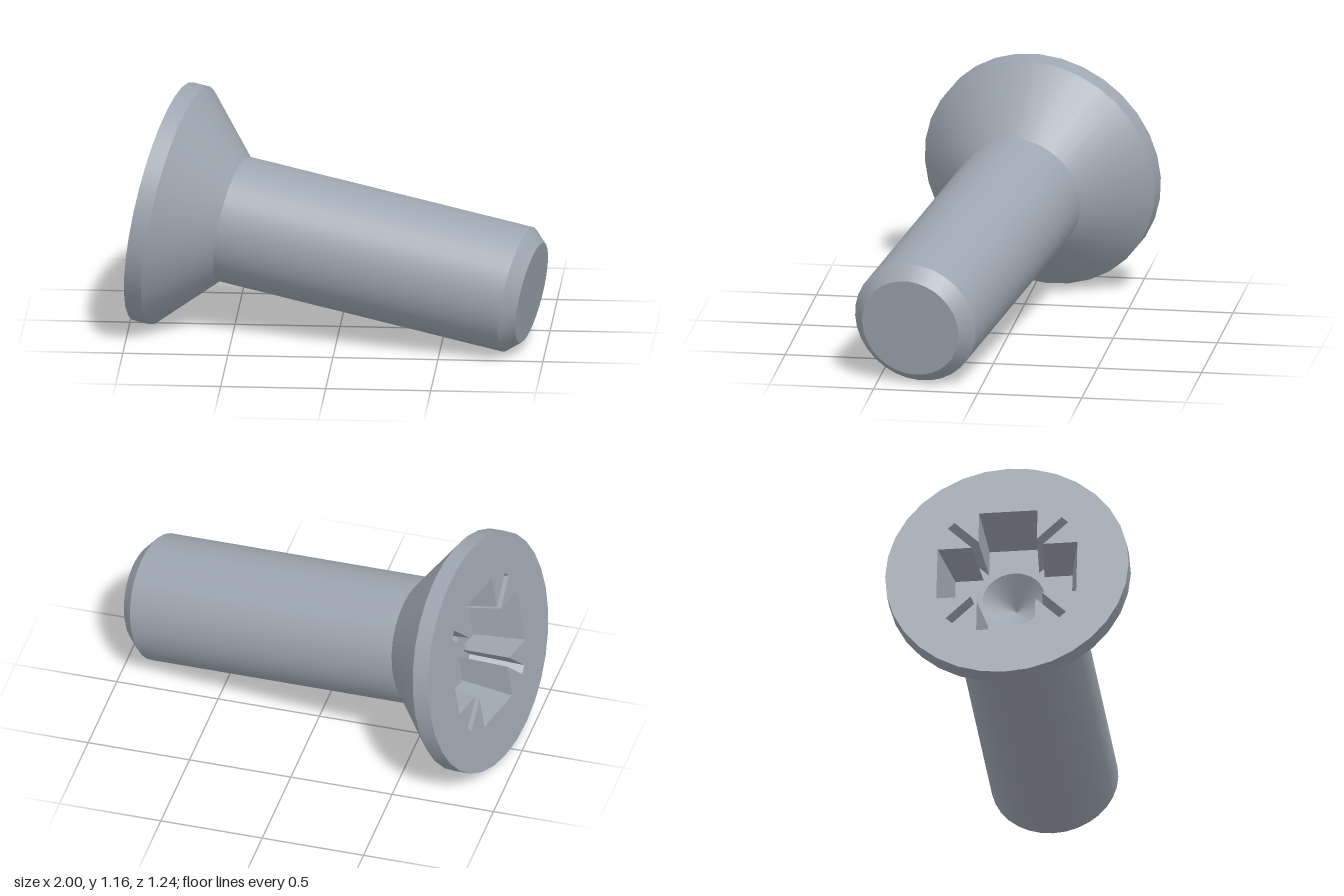
import * as THREE from 'three';

const SIDES = 32;
const HEAD_R = 0.583, SHANK_R = 0.305, TIP_R = 0.245;
const RIM = 0.085, NECK = 0.355, CHAMFER = 1.78, LENGTH = 1.847; // distances from the head face
const RECESS_DEPTH = 0.25, PIT_R = 0.15, PIT_DEPTH = 0.36;

const steel = new THREE.MeshStandardMaterial({ color: 0x9ea6b1 });
steel.name = 'steel';

// Revolved band about local z; points are [radius, depth below the head face]
function band(name, points) {
  const geometry = new THREE.LatheGeometry(points.map(([r, d]) => new THREE.Vector2(r, -d)), SIDES);
  geometry.rotateX(Math.PI / 2);
  const mesh = new THREE.Mesh(geometry, steel);
  mesh.name = name;
  return mesh;
}

function circle(radius) {
  return Array.from({ length: SIDES }, (_, i) => {
    const a = (i / SIDES) * Math.PI * 2;
    return new THREE.Vector2(radius * Math.cos(a), radius * Math.sin(a));
  });
}

// Counter-clockwise cross with four wings and four narrow diagonal slots
function crossOutline(reach, w, slotReach, h) {
  const k = Math.SQRT1_2, s = h * Math.SQRT2;
  const quarter = [
    [reach, -w], [reach, w], [w + s, w],
    [(slotReach + h) * k, (slotReach - h) * k],
    [(slotReach - h) * k, (slotReach + h) * k], [w, w + s],
  ];
  const points = [];
  for (let q = 0; q < 4; q++) {
    for (const [x, y] of quarter) {
      points.push(new THREE.Vector2(x, y).rotateAround(new THREE.Vector2(), q * Math.PI / 2));
    }
  }
  return points;
}

// Flat plate with a hole, facing out of the head
function plate(name, outline, hole, depth) {
  const shape = new THREE.Shape(outline);
  shape.holes.push(new THREE.Path(hole));
  const mesh = new THREE.Mesh(new THREE.ShapeGeometry(shape), steel);
  mesh.position.z = -depth;
  mesh.name = name;
  return mesh;
}

// Inward-facing walls between the opening and the smaller floor outline
function recessWalls(top, bottom, depth) {
  const position = [];
  top.forEach((a, i) => {
    const j = (i + 1) % top.length;
    const b = top[j], c = bottom[j], d = bottom[i];
    position.push(a.x, a.y, 0, b.x, b.y, 0, c.x, c.y, -depth);
    position.push(a.x, a.y, 0, c.x, c.y, -depth, d.x, d.y, -depth);
  });
  const geometry = new THREE.BufferGeometry();
  geometry.setAttribute('position', new THREE.Float32BufferAttribute(position, 3));
  geometry.computeVertexNormals();
  const mesh = new THREE.Mesh(geometry, steel);
  mesh.name = 'recessWalls';
  return mesh;
}

export function createModel() {
  const screw = new THREE.Group();
  screw.name = 'countersunkScrew';

  // Shank and head
  screw.add(
    band('tipFace', [[0, LENGTH], [TIP_R, LENGTH]]),
    band('tipChamfer', [[TIP_R, LENGTH], [SHANK_R, CHAMFER]]),
    band('shank', [[SHANK_R, CHAMFER], [SHANK_R, NECK]]),
    band('headCone', [[SHANK_R, NECK], [HEAD_R, RIM]]),
    band('headRim', [[HEAD_R, RIM], [HEAD_R, 0]]),
  );

  // Drive recess
  const opening = crossOutline(0.335, 0.14, 0.385, 0.022);
  const floor = crossOutline(0.28, 0.12, 0.29, 0.018);
  screw.add(
    plate('headFace', circle(HEAD_R), opening, 0),
    recessWalls(opening, floor, RECESS_DEPTH),
    plate('recessFloor', floor, circle(PIT_R), RECESS_DEPTH),
    band('recessPit', [[PIT_R, RECESS_DEPTH], [0, PIT_DEPTH]]),
  );

  // Tilt: local z points out of the head face
  const z = new THREE.Vector3(-0.965, 0.162, -0.2075).normalize();
  const x = new THREE.Vector3(0, 1, 0).cross(z).normalize();
  const y = z.clone().cross(x);
  screw.quaternion.setFromRotationMatrix(new THREE.Matrix4().makeBasis(x, y, z));
  screw.position.set(-0.847, 0.595, -0.05);

  const model = new THREE.Group();
  model.name = 'screwModel';
  model.add(screw);
  return model;
}
